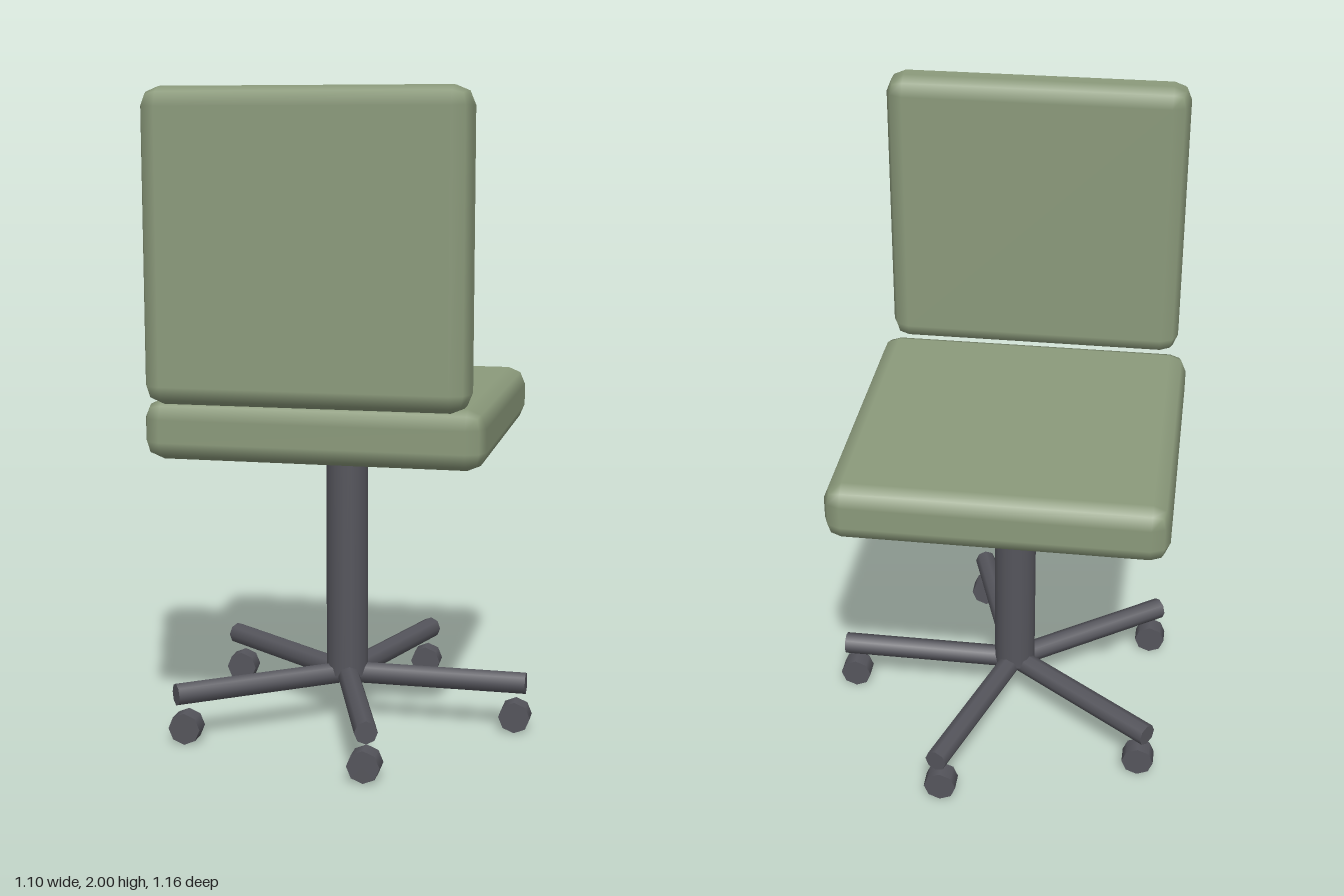
import * as THREE from 'three';
import { RoundedBoxGeometry } from 'three/addons/geometries/RoundedBoxGeometry.js';

export function createModel() {
  const model = new THREE.Group();
  model.name = 'officeChair';

  const fabric = new THREE.MeshStandardMaterial({ color: 0x8b9a7b });
  fabric.name = 'sageFabric';
  const metal = new THREE.MeshStandardMaterial({ color: 0x55555c });
  metal.name = 'darkMetal';

  const add = (name, geometry, material, x, y, z, parent = model) => {
    const mesh = new THREE.Mesh(geometry, material);
    mesh.name = name;
    mesh.position.set(x, y, z);
    parent.add(mesh);
    return mesh;
  };

  // Axis of the column and the star base
  const cx = -0.045, cz = -0.02;

  // Cushions with softened edges
  add('seat', new RoundedBoxGeometry(1.012, 0.178, 1.012, 1, 0.055), fabric, cx, 1.011, cz);
  add('backrest', new RoundedBoxGeometry(0.945, 0.9, 0.155, 1, 0.055), fabric, cx, 1.55, 0.498);

  // Column from the star base into the seat
  const columnBottom = 0.157, columnTop = 0.94;
  add('column', new THREE.CylinderGeometry(0.067, 0.067, columnTop - columnBottom, 16),
    metal, cx, (columnBottom + columnTop) / 2, cz);

  // Five arms, each with a caster; all casters roll along x
  const armLength = 0.577;
  const armGeometry = new THREE.CylinderGeometry(0.035, 0.035, armLength, 8);
  armGeometry.rotateZ(-Math.PI / 2);
  armGeometry.translate(armLength / 2, 0, 0);
  const casterGeometry = new THREE.CylinderGeometry(0.05, 0.05, 0.058, 8);
  casterGeometry.rotateX(Math.PI / 2);

  const base = new THREE.Group();
  base.name = 'starBase';
  base.position.set(cx, 0, cz);
  model.add(base);
  for (let i = 0; i < 5; i++) {
    const angle = (i * Math.PI * 2) / 5;
    const arm = add('baseArm', armGeometry, metal, 0, 0.157, 0, base);
    arm.rotation.y = -angle;
    add('caster', casterGeometry, metal,
      Math.cos(angle) * 0.544, 0.05, Math.sin(angle) * 0.544, base);
  }

  return model;
}
